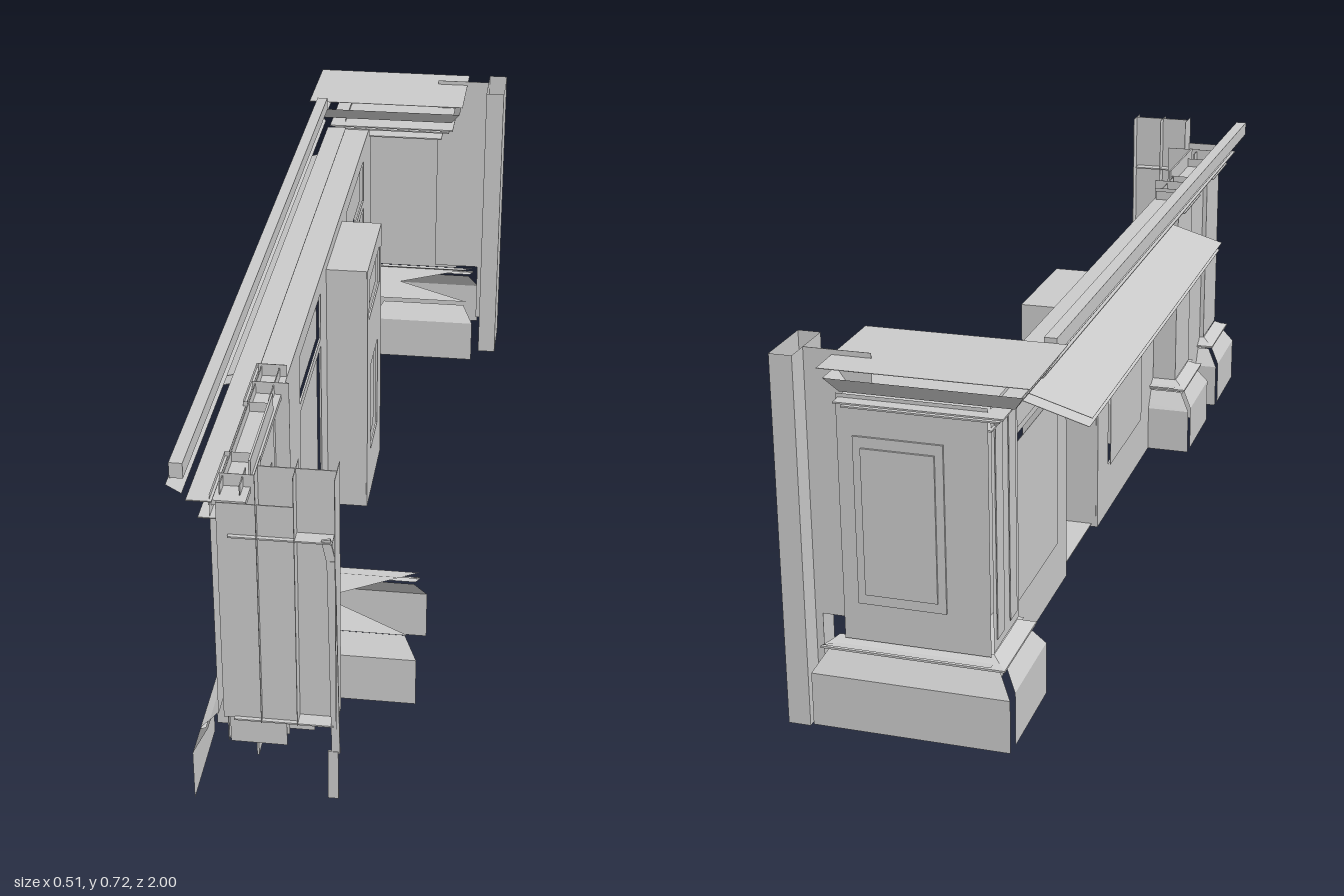
import * as THREE from 'three';

const grey = new THREE.MeshStandardMaterial({ color: 0xcccccc, side: THREE.DoubleSide, flatShading: true });

export function createModel() {
  const root = new THREE.Group();

  const add = (name, geometry, parent = root) => {
    const mesh = new THREE.Mesh(geometry, grey);
    mesh.name = name;
    parent.add(mesh);
    return mesh;
  };

  // Box from its limits; equal limits give a thin sheet
  const box = (name, x0, x1, y0, y1, z0, z1, parent) => {
    const size = (a, b) => Math.max(b - a, 0.001);
    const mesh = add(name, new THREE.BoxGeometry(size(x0, x1), size(y0, y1), size(z0, z1)), parent);
    mesh.position.set((x0 + x1) / 2, (y0 + y1) / 2, (z0 + z1) / 2);
    return mesh;
  };

  // Moulding that follows chosen sides of a rectangle; levels are [y, outward offset]
  const moulding = (name, [x0, x1, z0, z1], levels, sides, parent) => {
    const pos = [];
    const corners = ([y, e]) => [
      [x0 - e, y, z0 - e], [x1 + e, y, z0 - e], [x1 + e, y, z1 + e], [x0 - e, y, z1 + e],
    ];
    const order = { back: 0, outer: 1, front: 2, wall: 3 };
    for (let i = 0; i + 1 < levels.length; i++) {
      const low = corners(levels[i]), high = corners(levels[i + 1]);
      for (const side of sides) {
        const a = order[side], b = (a + 1) % 4;
        pos.push(...low[a], ...high[b], ...low[b], ...low[a], ...high[a], ...high[b]);
      }
    }
    const g = new THREE.BufferGeometry();
    g.setAttribute('position', new THREE.Float32BufferAttribute(pos, 3));
    g.computeVertexNormals();
    return add(name, g, parent);
  };

  // Upright sheet facing +x with rectangular openings [z0, z1, y0, y1]
  const panelWall = (name, x, [z0, z1, y0, y1], holes, parent) => {
    const rect = (p, a, b, c, d) => {
      p.moveTo(-b, c); p.lineTo(-a, c); p.lineTo(-a, d); p.lineTo(-b, d); p.closePath();
      return p;
    };
    const shape = rect(new THREE.Shape(), z0, z1, y0, y1);
    for (const h of holes) shape.holes.push(rect(new THREE.Path(), ...h));
    const mesh = add(name, new THREE.ExtrudeGeometry(shape, { depth: 0.004, bevelEnabled: false }), parent);
    mesh.rotation.y = Math.PI / 2;
    mesh.position.x = x - 0.004;
    // Recessed panel behind each opening, with a narrow gap on top
    for (const [a, b, c, d] of holes) box(name + 'Inset', x - 0.01, x - 0.009, c, d - 0.008, a, b, parent);
  };

  // Long panelled wall, either side of the centre cabinet
  const wall = new THREE.Group();
  wall.name = 'wall';
  root.add(wall);
  panelWall('panelledWall', -0.075, [-0.03, 0.5, 0.015, 0.61],
    [[0.06, 0.35, 0.13, 0.47], [0.06, 0.35, 0.49, 0.595]], wall);
  panelWall('panelledWall', -0.075, [-0.83, -0.285, 0.015, 0.61],
    [[-0.68, -0.37, 0.13, 0.47], [-0.68, -0.37, 0.49, 0.595]], wall);
  box('wallTop', -0.14, -0.075, 0.625, 0.635, -0.8, 0.95, wall);
  box('wallTopLip', -0.08, -0.075, 0.605, 0.635, -0.8, 0.5, wall);

  // Centre cabinet, open at the back
  const cabinet = new THREE.Group();
  cabinet.name = 'cabinet';
  root.add(cabinet);
  panelWall('cabinetFront', 0.015, [-0.285, -0.03, 0.015, 0.61],
    [[-0.25, -0.06, 0.48, 0.57], [-0.22, -0.09, 0.13, 0.35]], cabinet);
  for (const z of [-0.285, -0.03]) box('cabinetSide', -0.075, 0.013, 0.015, 0.61, z, z, cabinet);
  box('cabinetTop', -0.075, 0.013, 0.608, 0.61, -0.285, -0.03, cabinet);
  box('cabinetBottom', -0.065, -0.005, 0.02, 0.022, -0.285, -0.03, cabinet);

  // Top rail along the whole length
  box('railBand', -0.2, -0.176, 0.69, 0.72, -0.77, 0.975);
  moulding('railCove', [-0.18, -0.155, -0.77, 0.975], [[0.66, 0], [0.69, 0.022]], ['wall']);
  box('railLedge', -0.175, -0.13, 0.643, 0.645, -0.77, 0.97);

  // Sloping shelf on the far side, two thin skins
  const shelf = new THREE.Group();
  shelf.name = 'shelf';
  shelf.position.set(-0.187, 0.576, -0.165);
  shelf.rotation.z = 0.29;
  root.add(shelf);
  for (const y of [-0.009, 0.009]) box('shelfSkin', -0.07, 0.07, y, y, -0.575, 0.575, shelf);

  // End pillar with plinth, panelled body and cap
  const baseLevels = [[0.015, 0], [0.12, 0], [0.16, -0.025]];
  const bead = [[0.163, -0.022], [0.166, -0.014], [0.17, -0.014], [0.176, -0.028], [0.185, -0.042]];
  const pillar = new THREE.Group();
  pillar.name = 'pillar';
  root.add(pillar);
  const foot = [-0.178, 0.197, -0.995, -0.77];
  moulding('pillarBase', foot, baseLevels, ['back'], pillar);
  moulding('pillarBase', [-0.178, 0.197, -0.965, -0.77], baseLevels, ['wall'], pillar);
  moulding('pillarBase', [-0.06, 0.197, -0.995, -0.77], baseLevels, ['front'], pillar);
  moulding('pillarBead', foot, bead, ['wall', 'back'], pillar);
  moulding('pillarBody', [-0.135, 0.14, -0.965, -0.8], [[0.185, 0], [0.655, 0]], ['back'], pillar);
  moulding('pillarBody', [-0.135, 0.14, -0.95, -0.8], [[0.185, 0], [0.655, 0]], ['wall'], pillar);
  box('pillarPanel', -0.055, 0.11, 0.26, 0.58, -0.97, -0.966, pillar);
  box('pillarPanelField', -0.04, 0.095, 0.28, 0.56, -0.974, -0.97, pillar);
  for (const z of [-0.915, -0.84]) box('pillarStrip', -0.138, -0.136, 0.205, 0.62, z - 0.02, z + 0.02, pillar);
  for (const [y, e] of [[0.61, 0.005], [0.635, 0.025], [0.645, 0.035]])
    box('pillarLedge', -0.135 - e, 0.1 + e, y, y + 0.003, -0.955 - e, -0.81 + e, pillar);
  moulding('pillarCove', [-0.185, 0.13, -0.97, -0.795], [[0.66, 0], [0.69, 0.021]],
    ['wall', 'back', 'front', 'outer'], pillar);
  box('pillarCap', -0.22, 0.158, 0.71, 0.71, -1, -0.77, pillar);

  // Square end post, hollow and open at the top
  moulding('post', [0.211, 0.254, -0.978, -0.85], [[0, 0], [0.72, 0]], ['back', 'outer', 'front', 'wall']);
  box('postWeb', 0.085, 0.211, 0.208, 0.72, -0.93, -0.929);
  box('postFoot', 0.197, 0.211, 0.06, 0.208, -0.93, -0.929);

  // Mitred plate lying on a plinth, notched at its open end
  const mitre = (name, y, z0, z1) => {
    const m = (z0 + z1) / 2;
    const s = new THREE.Shape([[-0.14, z0], [0.18, z0], [0.0, m], [0.18, z1], [-0.14, z1]]
      .map(([x, z]) => new THREE.Vector2(x, -z)));
    const mesh = add(name, new THREE.ShapeGeometry(s));
    mesh.rotation.x = -Math.PI / 2;
    mesh.position.y = y;
  };
  mitre('plinthPlate', 0.175, 0.455, 0.67);
  mitre('pillarPlate', 0.175, -0.985, -0.785);

  // Two pilasters on the far side; the last has an open front
  for (const [x1, z0, z1, sides] of [
    [0.197, 0.45, 0.675, ['back', 'front']],
    [0.013, 0.78, 1, ['back']],
  ]) {
    const g = new THREE.Group();
    g.name = 'pilaster';
    root.add(g);
    moulding('pilasterBase', [-0.178, x1, z0, z1], baseLevels, sides, g);
    moulding('pilasterBase', [-0.178, x1, z0 + 0.025, z1], baseLevels, ['wall'], g);
    moulding('pilasterBead', [-0.178, x1, z0, z1], bead, ['wall', 'back'], g);
    moulding('pilasterBody', [-0.135, -0.08, z0 + 0.04, z1 - 0.035], [[0.185, 0], [0.655, 0]],
      ['wall', ...sides], g);
    box('pilasterLedge', -0.155, -0.08, 0.61, 0.612, z0 + 0.02, z1 - 0.03, g);
  }

  // Panelled bay between the pilasters
  panelWall('bayPanel', -0.08, [0.63, 0.87, 0.02, 0.67], [[0.66, 0.82, 0.09, 0.54]], root);
  box('bayBack', -0.125, -0.123, 0.1, 0.655, 0.5, 0.93);
  for (const [z, x] of [[0.5, -0.075], [0.57, -0.06], [0.9, -0.015]])
    box('bayFin', -0.13, x, 0.1, 0.66, z, z);
  for (const z of [0.535, 0.6, 0.9]) box('bayStrip', -0.09, -0.088, 0.1, 0.655, z - 0.03, z + 0.03);

  // Broken-open end: upright boards, cross plates and a leaning strip
  const end = new THREE.Group();
  end.name = 'openEnd';
  root.add(end);
  box('endBoard', -0.05, 0.085, 0.2, 0.72, 0.965, 0.967, end);
  box('endPanel', -0.12, 0.015, 0.2, 0.655, 0.985, 0.987, end);
  for (const x of [-0.05, 0.015, 0.085]) box('endFin', x, x, 0.2, 0.72, 0.935, 0.998, end);
  box('endPlinth', -0.12, -0.015, 0.1, 0.2, 0.93, 0.932, end);
  box('endLedge', -0.08, 0.01, 0.198, 0.2, 0.81, 0.92, end);
  for (const y of [0.2, 0.59]) box('endPlate', -0.1, 0.08, y, y + 0.003, 0.94, 0.995, end);
  box('endStripFoot', 0.069, 0.088, 0.037, 0.145, 0.99, 0.994, end);
  const strip = box('endStrip', 0.073, 0.088, 0.14, 0.555, 0.988, 0.993, end);
  strip.rotation.z = 0.015;
  const tip = box('endStripTip', 0.065, 0.081, 0.555, 0.598, 0.988, 0.993, end);
  tip.rotation.z = 0.2;

  return root;
}
